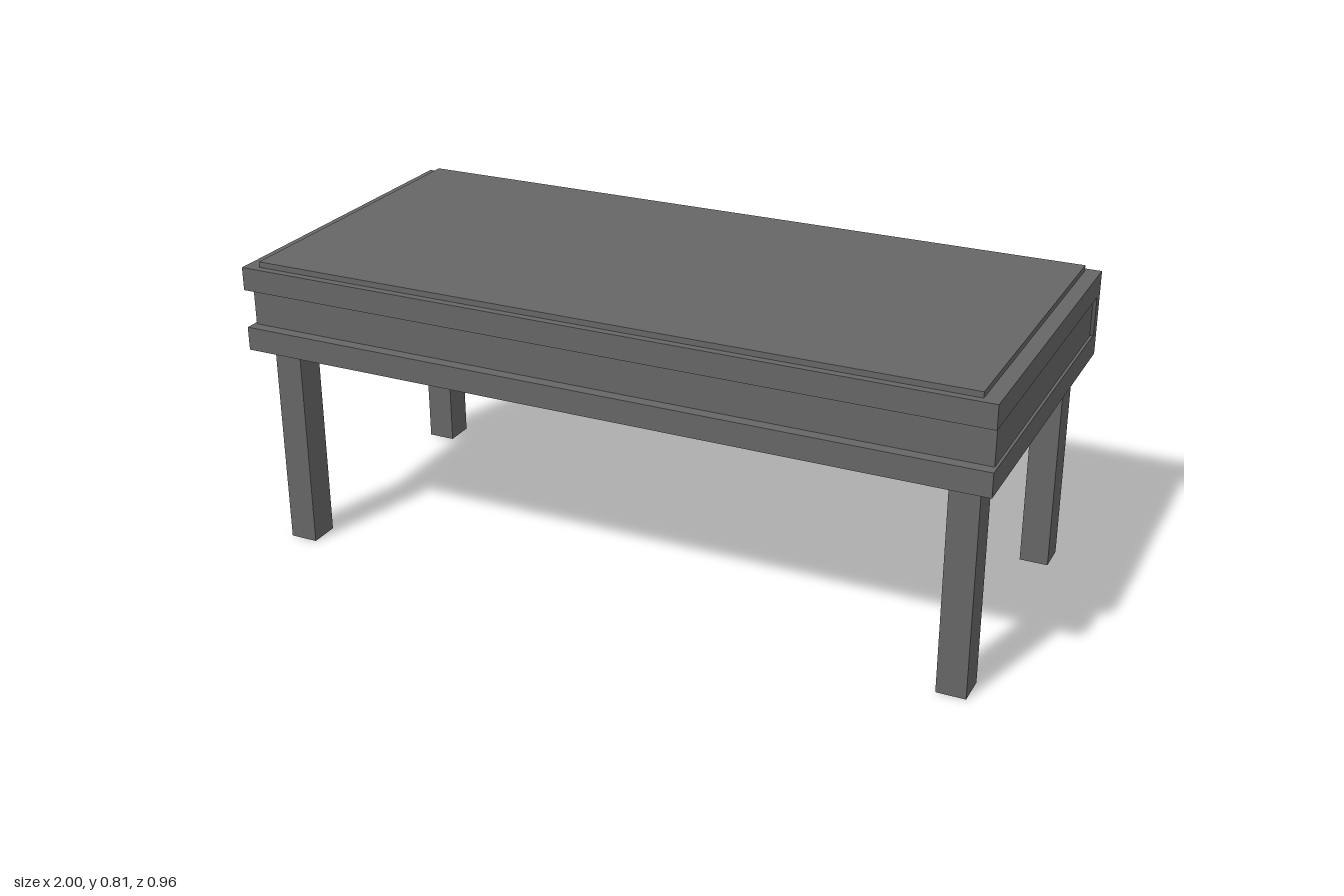
import * as THREE from 'three';

export function createModel() {
  const group = new THREE.Group();
  group.name = 'desk';
  const grey = new THREE.MeshStandardMaterial({ color: 0x666666 });
  grey.name = 'dark grey';

  const add = (name, geometry) => {
    const mesh = new THREE.Mesh(geometry, grey);
    mesh.name = name;
    group.add(mesh);
    return mesh;
  };
  // Box given by its lower and upper limits on each axis
  const box = (name, x0, x1, y0, y1, z0, z1) => {
    const mesh = add(name, new THREE.BoxGeometry(x1 - x0, y1 - y0, z1 - z0));
    mesh.position.set((x0 + x1) / 2, (y0 + y1) / 2, (z0 + z1) / 2);
    return mesh;
  };

  const bottom = 0.567, grooveLow = 0.63, grooveHigh = 0.733, top = 0.795;
  const back = -0.432, drawerFace = -0.424;

  // Desk body: two projecting rails around a recessed band
  box('lowerRail', -1, 1, bottom, grooveLow, drawerFace, 0.48);
  box('upperRail', -1, 1, grooveHigh, top, drawerFace, 0.48);
  box('recessedBand', -0.993, 0.993, grooveLow, grooveHigh, drawerFace, 0.45);
  box('desktop', -0.96, 0.96, top, 0.81, -0.415, 0.46);

  // Rear ends of the side grooves slope out to the rail face
  const end = new THREE.Shape([
    [-1, -drawerFace], [-1, 0.402], [-0.993, 0.392],
    [0.993, 0.392], [1, 0.402], [1, -drawerFace],
  ].map(([x, y]) => new THREE.Vector2(x, y)));
  const endGeometry = new THREE.ExtrudeGeometry(end, { depth: grooveHigh - grooveLow, bevelEnabled: false });
  endGeometry.rotateX(-Math.PI / 2);
  add('grooveEnds', endGeometry).position.y = grooveLow;

  // Frame around the three slightly sunken drawer fronts
  const rectangle = (target, x0, x1, y0, y1) => {
    target.moveTo(x0, y0);
    target.lineTo(x1, y0);
    target.lineTo(x1, y1);
    target.lineTo(x0, y1);
    target.closePath();
    return target;
  };
  const frame = rectangle(new THREE.Shape(), -1, 1, bottom, top);
  for (const [x0, x1] of [[-0.97, -0.51], [-0.412, 0.412], [0.51, 0.97]]) {
    frame.holes.push(rectangle(new THREE.Path(), x0, x1, 0.6, 0.765));
  }
  const frameGeometry = new THREE.ExtrudeGeometry(frame, { depth: drawerFace - back, bevelEnabled: false });
  add('drawerFrame', frameGeometry).position.z = back;

  // Drawer pulls: a plate with a half ring
  for (const x of [-0.745, 0, 0.745]) {
    box('handlePlate', x - 0.08, x + 0.08, 0.64, 0.724, -0.435, drawerFace);
    const ring = new THREE.TorusGeometry(0.05, 0.012, 12, 24, Math.PI);
    ring.rotateX(-Math.PI / 2);
    add('handleRing', ring).position.set(x, 0.683, -0.417);
  }

  // Legs
  for (const x of [-0.922, 0.922]) {
    for (const z of [-0.334, 0.384]) {
      box('leg', x - 0.038, x + 0.038, 0, bottom, z - 0.041, z + 0.041);
    }
  }
  return group;
}
